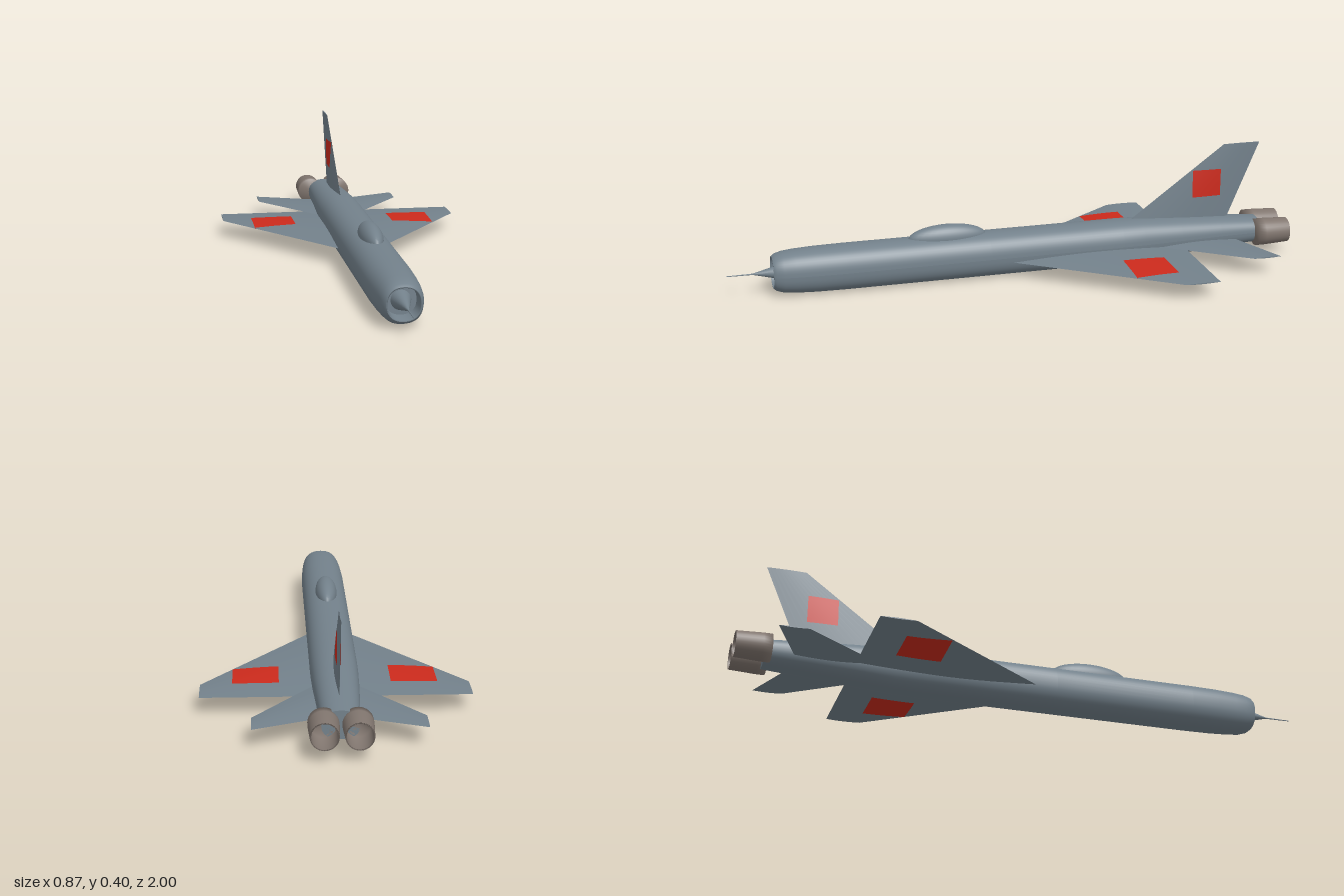
import * as THREE from 'three';

const lerp = THREE.MathUtils.lerp;

// Surface from a rule fn(u, v) -> [x, y, z]
function grid(fn, nu, nv) {
  const pos = [], idx = [];
  for (let i = 0; i <= nu; i++) for (let j = 0; j <= nv; j++) pos.push(...fn(i / nu, j / nv));
  for (let i = 0; i < nu; i++) for (let j = 0; j < nv; j++) {
    const a = i * (nv + 1) + j, b = a + nv + 1;
    idx.push(a, b, a + 1, b, b + 1, a + 1);
  }
  const g = new THREE.BufferGeometry();
  g.setAttribute('position', new THREE.Float32BufferAttribute(pos, 3));
  g.setIndex(idx);
  g.computeVertexNormals();
  return g;
}

// Loft of rounded-square rings; each ring is [z, half width, bottom, top]
function loft(rings) {
  const n = 48, k = 2 / 2.3;
  const p = (v) => Math.sign(v) * Math.abs(v) ** k;
  return grid((u, v) => {
    const [z, rx, lo, hi] = rings[Math.round(u * (rings.length - 1))];
    const a = (v % 1) * Math.PI * 2;
    return [rx * p(Math.cos(a)), (lo + hi) / 2 + (hi - lo) / 2 * p(Math.sin(a)), z];
  }, rings.length - 1, n);
}

export function createModel() {
  const model = new THREE.Group();
  const mat = (name, color, side = THREE.DoubleSide) => {
    const m = new THREE.MeshStandardMaterial({ color, side });
    m.name = name;
    return m;
  };
  const grey = mat('blueGreyPaint', 0x73818b);
  const metal = mat('nozzleMetal', 0x80756e);
  const red = mat('redPaint', 0xcc2a1c);
  const add = (name, geo, material, parent = model) => {
    const m = new THREE.Mesh(geo, material);
    m.name = name;
    parent.add(m);
    return m;
  };

  // Fuselage skin, intake duct and closing bulkheads
  add('fuselage', loft([
    [0.845, 0.054, 0.026, 0.134], [0.835, 0.061, 0.018, 0.142], [0.81, 0.067, 0.01, 0.149],
    [0.77, 0.071, 0.006, 0.153], [0.7, 0.075, 0.003, 0.156], [0.6, 0.078, 0.002, 0.157],
    [0.1, 0.078, 0.002, 0.157], [-0.38, 0.078, 0.002, 0.157], [-0.46, 0.077, 0.005, 0.155],
    [-0.6, 0.073, 0.015, 0.148], [-0.75, 0.066, 0.027, 0.138], [-0.9, 0.059, 0.036, 0.127],
  ]), grey);
  add('intakeDuct', loft([[0.845, 0.054, 0.026, 0.134], [0.845, 0.051, 0.03, 0.131], [0.79, 0.048, 0.034, 0.128]]), grey);
  add('intakeBulkhead', loft([[0.79, 0.048, 0.034, 0.128], [0.79, 0, 0.08, 0.08]]), grey);
  add('tailBulkhead', loft([[-0.9, 0.059, 0.036, 0.127], [-0.9, 0, 0.082, 0.082]]), grey);

  // Intake cone and nose probe
  const cone = add('intakeCone', new THREE.ConeGeometry(0.032, 0.13, 32), grey);
  cone.rotation.x = Math.PI / 2;
  cone.position.set(0, 0.08, 0.855);
  const probe = add('noseProbe', new THREE.CylinderGeometry(0.0015, 0.0025, 0.1, 10), grey);
  probe.rotation.x = Math.PI / 2;
  probe.position.set(0, 0.08, 0.95);

  // Canopy
  const canopy = add('canopy', new THREE.SphereGeometry(1, 32, 20), grey);
  canopy.scale.set(0.038, 0.047, 0.137);
  canopy.position.set(0, 0.15, 0.24);

  // Lens-section panel: root and tip are { s, front, back, h } with h the half thickness
  function panel(name, root, tip, place, mark) {
    const group = new THREE.Group();
    group.name = name;
    const point = (f, u, k) => place(
      lerp(root.s, tip.s, f),
      lerp(lerp(root.front, tip.front, f), lerp(root.back, tip.back, f), u),
      k * lerp(root.h, tip.h, f) * Math.sin(Math.PI * u));
    for (const k of [1, -1]) {
      add(name + 'Skin', grid((f, u) => point(f, u, k), 1, 12), grey, group);
      if (!mark) continue;
      // Painted panel lying just above the skin
      add(name + 'RedPanel', grid((a, b) => {
        const s = lerp(mark.s0, mark.s1, a), z = lerp(mark.z0, mark.z1, b);
        const f = (s - root.s) / (tip.s - root.s);
        const front = lerp(root.front, tip.front, f), back = lerp(root.back, tip.back, f);
        const h = lerp(root.h, tip.h, f) * Math.sin(Math.PI * (z - front) / (back - front));
        return place(s, z, k * (h + 0.0015));
      }, 6, 6), red, group);
    }
    add(name + 'Tip', grid((a, u) => point(1, u, a * 2 - 1), 1, 12), grey, group);
    model.add(group);
  }

  for (const [label, side] of [['left', 1], ['right', -1]]) {
    panel(label + 'Wing',
      { s: 0.06, front: 0.045, back: -0.6, h: 0.0125 }, { s: 0.433, front: -0.48, back: -0.6, h: 0.002 },
      (s, z, t) => [side * s, 0.062 + t, z],
      { s0: 0.18, s1: 0.33, z0: -0.34, z1: -0.49 });
    panel(label + 'Tailplane',
      { s: 0.05, front: -0.485, back: -0.8, h: 0.008 }, { s: 0.268, front: -0.79, back: -0.89, h: 0.002 },
      (s, z, t) => [side * s, 0.066 + t, z]);

    // Open exhaust nozzle with an inner wall and a deep end plate
    const profile = [[0, 0.02], [0.04, 0.02], [0.04, 0.119], [0.044, 0.12], [0.048, 0.03], [0.048, 0], [0, 0]];
    const nozzle = add(label + 'Nozzle', new THREE.LatheGeometry(
      profile.map(([r, y]) => new THREE.Vector2(r, y)), 32), metal);
    nozzle.rotation.x = -Math.PI / 2;
    nozzle.position.set(side * 0.052, 0.083, -0.88);
  }

  // Vertical fin
  panel('fin',
    { s: 0.12, front: -0.38, back: -0.785, h: 0.009 }, { s: 0.405, front: -0.77, back: -0.905, h: 0.002 },
    (s, z, t) => [t, s, z],
    { s0: 0.218, s1: 0.316, z0: -0.655, z1: -0.76 });

  return model;
}
